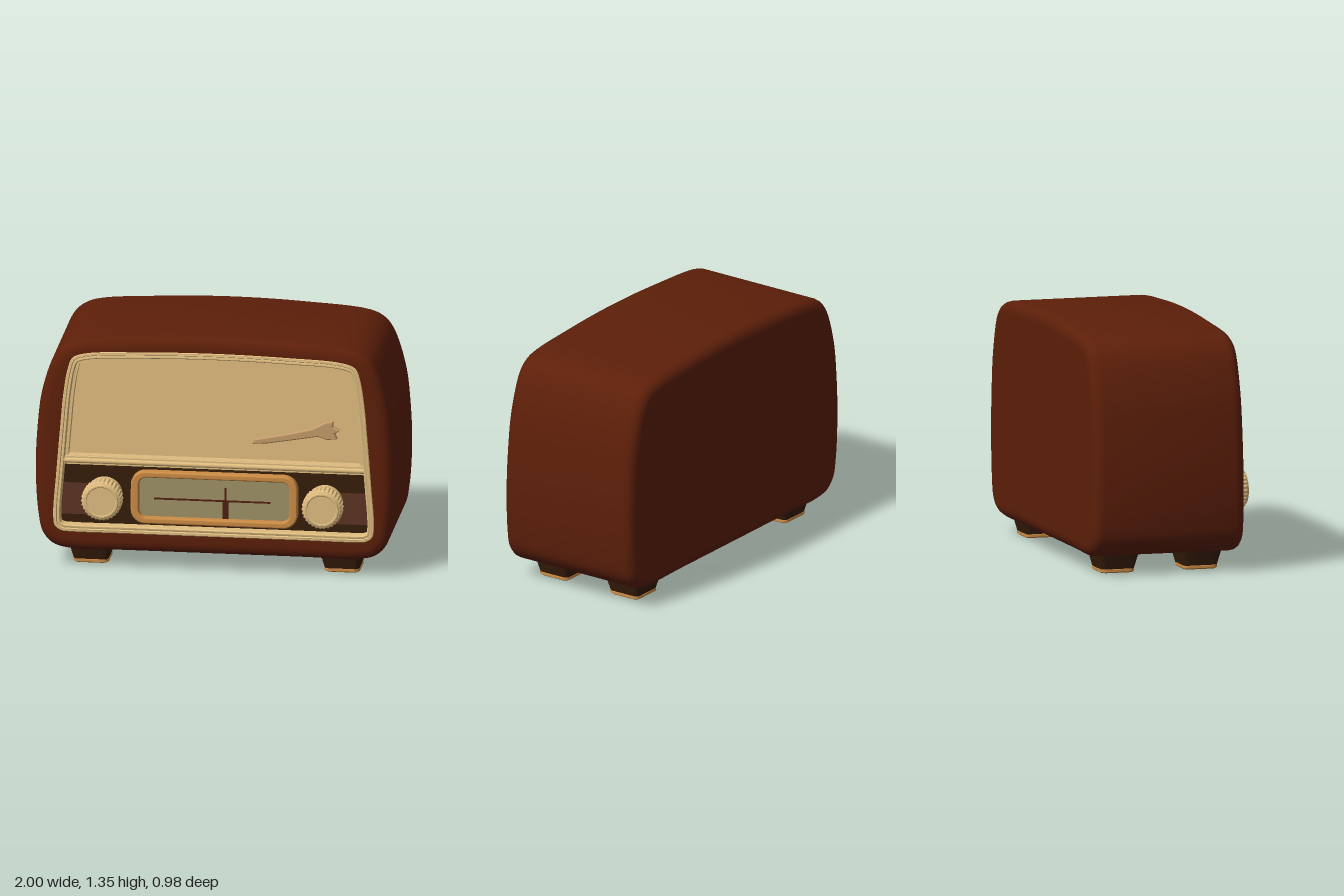
import * as THREE from 'three';
import { toCreasedNormals } from 'three/addons/utils/BufferGeometryUtils.js';

const mat = (name, color) => {
  const m = new THREE.MeshStandardMaterial({ color });
  m.name = name;
  return m;
};

// Closed smooth outline, mirrored from its right half (bottom centre to top centre)
function outline(half) {
  const left = half.slice(1, -1).reverse().map(([x, y]) => [-x, y]);
  const pts = [...half, ...left].map(([x, y]) => new THREE.Vector3(x, y, 0));
  return new THREE.CatmullRomCurve3(pts, true, 'centripetal').getPoints(pts.length * 6).slice(0, -1);
}

// Move every outline point inward by d
function inset(pts, d) {
  const n = pts.length;
  return pts.map((p, i) => {
    const t = pts[(i + 1) % n].clone().sub(pts[(i + n - 1) % n]).normalize();
    return new THREE.Vector3(p.x - t.y * d, p.y + t.x * d, p.z);
  });
}

const atZ = (pts, z) => pts.map(p => new THREE.Vector3(p.x, p.y, typeof z === 'function' ? z(p) : z));

// Skin a stack of rings, optionally closing both ends
function loft(rings, capped = true, crease = 0.6) {
  const n = rings[0].length, pos = [], index = [];
  rings.forEach(r => r.forEach(p => pos.push(p.x, p.y, p.z)));
  for (let i = 0; i < rings.length - 1; i++) {
    for (let j = 0; j < n; j++) {
      const a = i * n + j, b = i * n + (j + 1) % n;
      index.push(a, b, a + n, b, b + n, a + n);
    }
  }
  const cap = (k, flip) => {
    const c = rings[k].reduce((s, p) => s.add(p), new THREE.Vector3()).divideScalar(n);
    const ci = pos.length / 3;
    pos.push(c.x, c.y, c.z);
    for (let j = 0; j < n; j++) {
      const a = k * n + j, b = k * n + (j + 1) % n;
      flip ? index.push(ci, b, a) : index.push(ci, a, b);
    }
  };
  if (capped) {
    cap(0, true);
    cap(rings.length - 1, false);
  }
  const g = new THREE.BufferGeometry();
  g.setAttribute('position', new THREE.Float32BufferAttribute(pos, 3));
  g.setIndex(index);
  return toCreasedNormals(g, crease);
}

function roundRect(w, h, r, Type = THREE.Shape) {
  const s = new Type(), x = w / 2 - r, y = h / 2 - r;
  s.absarc(x, -y, r, -Math.PI / 2, 0);
  s.absarc(x, y, r, 0, Math.PI / 2);
  s.absarc(-x, y, r, Math.PI / 2, Math.PI);
  s.absarc(-x, -y, r, Math.PI, Math.PI * 1.5);
  s.closePath();
  return s;
}

function add(parent, name, geometry, material, x = 0, y = 0, z = 0) {
  const m = new THREE.Mesh(geometry, material);
  m.name = name;
  m.position.set(x, y, z);
  parent.add(m);
  return m;
}

export function createModel() {
  const root = new THREE.Group();
  root.name = 'tableRadio';
  const wood = mat('redBrownCase', 0x5d1f09);
  const cream = mat('creamTrim', 0xe0bd80);
  const cloth = mat('grilleCloth', 0xe2bd7e);
  const dark = mat('darkBrown', 0x371d0a);
  const gold = mat('goldTrim', 0xcc8c45);
  const glass = mat('dialOlive', 0x9f9267);
  const stripe = mat('panelBrown', 0x5c3422);
  const needle = mat('needleRed', 0x4f1f10);
  const bronze = mat('emblemBronze', 0xc49c6a);

  // Case silhouette and front opening share the same point layout
  const body = outline([[0, .1], [.5, .1], [.8, .1], [.9, .125], [.96, .19], [.985, .3], [1, .55],
    [.99, .8], [.965, 1], [.9, 1.2], [.85, 1.265], [.77, 1.305], [.4, 1.338], [0, 1.35]]);
  const opening = outline([[0, .21], [.5, .21], [.8, .21], [.85, .215], [.885, .24], [.895, .3], [.878, .55],
    [.858, .8], [.84, 1], [.815, 1.15], [.79, 1.21], [.72, 1.238], [.4, 1.257], [0, 1.265]]);

  // Case: rounded back and front edges, slightly leaning face with a recess
  const FACE = 0.392, LEAN = 0.016;
  const face = d => p => FACE - LEAN * p.y + d;
  const edge = [0, 1, 2, 3, 4].map(i => i * Math.PI / 8);
  const R = 0.06;
  add(root, 'case', loft([
    atZ(inset(body, R + .015), -0.49),
    ...edge.map(a => atZ(inset(body, R * (1 - Math.sin(a))), -0.49 + R * (1 - Math.cos(a)))),
    ...edge.map(a => atZ(inset(body, R * (1 - Math.cos(a))), face(R * (Math.sin(a) - 1)))),
    atZ(opening, face(0)),
    atZ(opening, face(-0.12)),
  ]), wood);

  // Everything on the face sits in one leaning group, z = 0 on the case front
  const front = new THREE.Group();
  front.name = 'frontPanel';
  front.position.z = FACE;
  front.rotation.x = -LEAN;
  root.add(front);

  // Rounded trim with a shallow groove around the opening
  const trim = [[0, -.03], [0, 0], [.004, .004], [.016, .004], [.02, -.003],
    [.025, 0], [.033, 0], [.038, -.006], [.039, -.11]];
  add(front, 'trimFrame', loft(trim.map(([d, z]) => atZ(inset(opening, d), z)), false), cream);

  // Recessed upper grille with stepped liner
  const part = (d, keep) => inset(opening, d).filter(keep).map(p => new THREE.Vector2(p.x, p.y));
  const upper = (d, y, x) => [new THREE.Vector2(-x, y), new THREE.Vector2(x, y), ...part(d, p => p.y > y + .01)];
  add(front, 'grille', new THREE.ShapeGeometry(new THREE.Shape(upper(.03, .6, .845))), cloth, 0, 0, -.09);
  const liner = new THREE.Shape(upper(.03, .61, .843));
  liner.holes.push(new THREE.Path(upper(.054, .64, .816)));
  add(front, 'grilleLiner', new THREE.ExtrudeGeometry(liner, { depth: .055, bevelEnabled: false }), cream, 0, 0, -.09);

  // Divider bar with a rounded ridge
  add(front, 'dividerBar', new THREE.BoxGeometry(1.7, .045, .09), cream, 0, .617, -.06);
  const ridge = add(front, 'dividerRidge', new THREE.CylinderGeometry(.014, .014, 1.7, 16), cream, 0, .617, -.015);
  ridge.rotation.z = Math.PI / 2;

  // Recessed lower control panel
  add(front, 'controlPanel', new THREE.ShapeGeometry(new THREE.Shape(part(.02, p => p.y < .615))), dark, 0, 0, -.06);
  for (const s of [-1, 1]) {
    add(front, 'sidePatch', new THREE.BoxGeometry(.19, .18, .004), stripe, s * .765, .385, -.059);
  }

  // Tuning dial
  const bezel = roundRect(.91, .28, .07);
  bezel.holes.push(roundRect(.86, .25, .055, THREE.Path));
  add(front, 'dialBezel', new THREE.ExtrudeGeometry(bezel, {
    depth: .05, bevelThickness: .01, bevelSize: .01, bevelSegments: 4, curveSegments: 10,
  }), gold, 0, .417, -.07);
  add(front, 'dialFace', new THREE.ShapeGeometry(roundRect(.87, .26, .06)), glass, 0, .417, -.053);
  add(front, 'dialLine', new THREE.BoxGeometry(.65, .009, .006), needle, -.015, .404, -.05);
  add(front, 'needleBase', new THREE.BoxGeometry(.03, .11, .008), needle, .06, .352, -.049);
  add(front, 'needleTip', new THREE.BoxGeometry(.01, .08, .008), needle, .06, .44, -.049);

  // Ridged knobs
  const ring = (r, z, tooth = 0) => Array.from({ length: 120 }, (_, j) => {
    const a = j / 120 * Math.PI * 2, q = r - (j % 4 > 1 ? tooth : 0);
    return new THREE.Vector3(q * Math.cos(a), q * Math.sin(a), z);
  });
  const knob = loft([ring(.1, -.065), ring(.1, .008), ring(.113, .012, .005), ring(.113, .086, .005),
    ring(.106, .094, .003), ring(.096, .097), ring(.092, .104), ring(.084, .104), ring(.08, .101)]);
  for (const s of [-1, 1]) add(front, s > 0 ? 'leftKnob' : 'rightKnob', knob, cream, s * .615, .417, 0);

  // Winged dart emblem on the grille
  const dart = new THREE.Shape([[.215, .742], [.3, .75], [.45, .776], [.57, .798], [.625, .782], [.67, .785],
    [.655, .812], [.685, .83], [.65, .845], [.65, .875], [.62, .87], [.54, .828], [.42, .798], [.22, .757]]
    .map(([x, y]) => new THREE.Vector2(x, y)));
  add(front, 'emblem', new THREE.ExtrudeGeometry(dart, {
    depth: .012, bevelThickness: .014, bevelSize: .008, bevelSegments: 3,
  }), bronze, 0, 0, -.085);

  // Tapered feet with gold pads
  const square = (w, r, y) => roundRect(w, w, r).getPoints(5).slice(0, -1)
    .map(p => new THREE.Vector3(p.x, y, -p.y));
  const foot = loft([square(.195, .03, .02), square(.245, .04, .115)]);
  const pad = loft([square(.18, .03, 0), square(.2, .035, .007), square(.2, .035, .02), square(.19, .03, .026)]);
  for (const x of [-.7, .7]) {
    for (const z of [-.295, .185]) {
      add(root, 'foot', foot, dark, x, 0, z);
      add(root, 'footPad', pad, gold, x, 0, z);
    }
  }
  return root;
}
